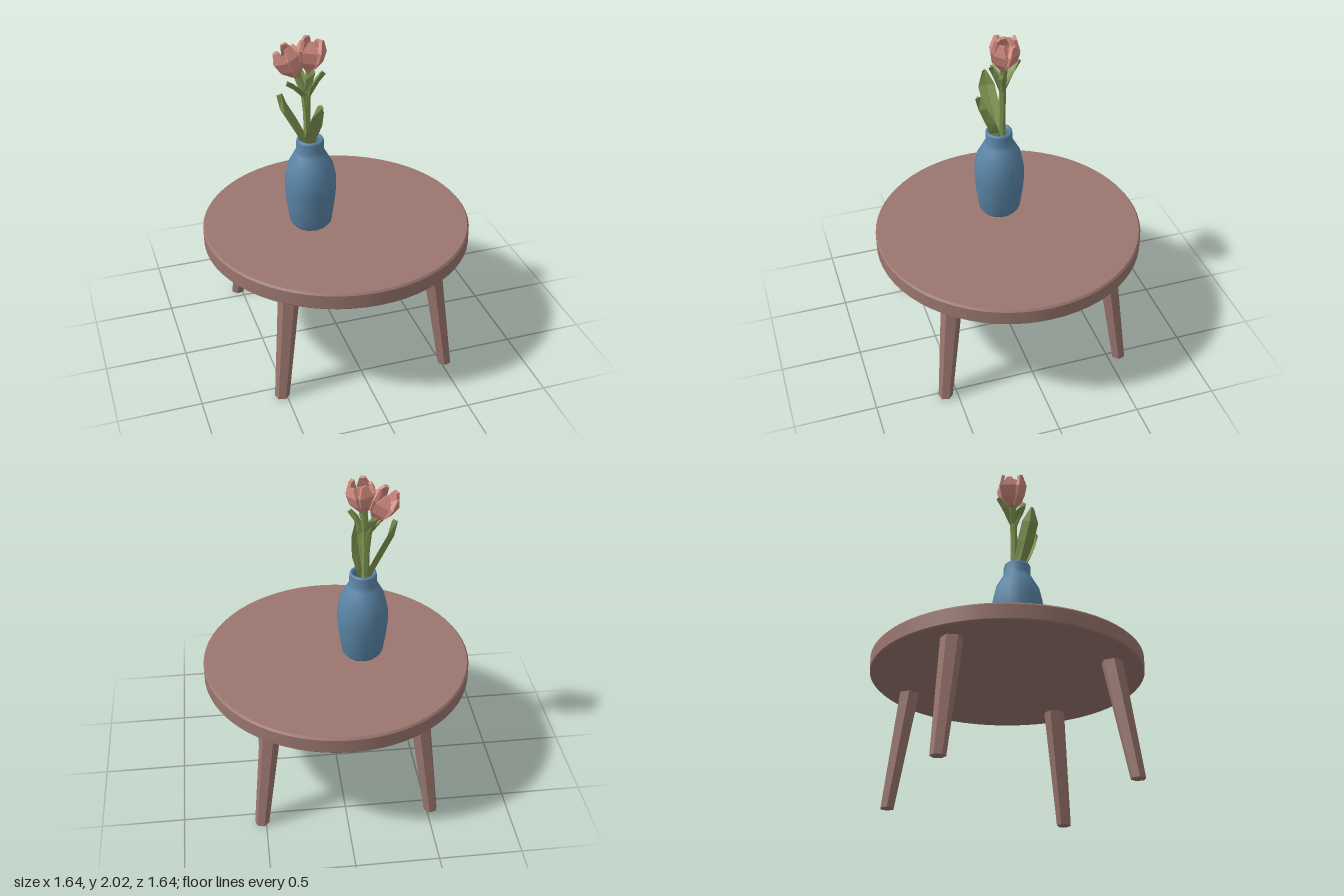
import * as THREE from 'three';

const V = (x, y, z) => new THREE.Vector3(x, y, z);
const mat = (color, flatShading = false, side = THREE.FrontSide) =>
  new THREE.MeshStandardMaterial({ color, flatShading, side });

// Lofts a four-cornered section along points; n is the broad face's direction.
function blade(points, widths, thick, n, boxy) {
  const pos = [], idx = [], last = points.length - 1;
  points.forEach((p, i) => {
    const t = points[Math.min(i + 1, last)].clone().sub(points[Math.max(i - 1, 0)]).normalize();
    const s = n.clone().cross(t).normalize();
    const m = t.clone().cross(s);
    const w = widths[i] / 2, h = thick / 2;
    const corners = boxy
      ? [[w, h], [-w, h], [-w, -h], [w, -h]]
      : [[w, h], [0, -h * 0.2], [-w, h], [0, -h * 2]];
    for (const [a, b] of corners) {
      const q = p.clone().addScaledVector(s, a).addScaledVector(m, b);
      pos.push(q.x, q.y, q.z);
    }
  });
  for (let i = 0; i < last; i++) for (let j = 0; j < 4; j++) {
    const a = i * 4 + j, b = i * 4 + (j + 1) % 4;
    idx.push(a, b, b + 4, a, b + 4, a + 4);
  }
  const e = last * 4;
  idx.push(1, 0, 3, 1, 3, 2, e + 1, e + 2, e + 3, e + 1, e + 3, e);
  const g = new THREE.BufferGeometry();
  g.setAttribute('position', new THREE.Float32BufferAttribute(pos, 3));
  g.setIndex(idx);
  const out = g.toNonIndexed();
  out.computeVertexNormals();
  return out;
}

export function createModel() {
  const model = new THREE.Group();
  const wood = mat(0x9b766f), woodFlat = mat(0x9b766f, true);
  const blue = mat(0x5b86a8, false, THREE.DoubleSide);
  const green = mat(0x7f9550, true), pink = mat(0xd48d82, true);
  const add = (name, geo, material, parent = model) => {
    const m = new THREE.Mesh(geo, material);
    m.name = name;
    parent.add(m);
    return m;
  };

  // Round table top with a small bevel; doubled points keep the edges sharp
  const rim = [[0, 0.715], [0.812, 0.715], [0.812, 0.715], [0.82, 0.723], [0.82, 0.723],
    [0.82, 0.808], [0.82, 0.808], [0.81, 0.82], [0.81, 0.82], [0, 0.82]];
  add('tableTop', new THREE.LatheGeometry(rim.map(p => new THREE.Vector2(...p)), 64), wood);

  // Four tapered, splayed legs
  for (const sx of [-1, 1]) for (const sz of [-1, 1]) {
    const g = new THREE.CylinderGeometry(0.065, 0.044, 0.72, 6);
    g.rotateY(Math.atan2(sx, sz));
    const p = g.attributes.position;
    for (let i = 0; i < p.count; i++) {
      const k = (p.getY(i) + 0.36) / 0.72;
      p.setXYZ(i, p.getX(i) + sx * (0.525 - 0.085 * k), p.getY(i) + 0.36,
        p.getZ(i) + sz * (0.572 - 0.087 * k));
    }
    add('leg', g, woodFlat);
  }

  // Vase with an open mouth and inner wall
  const profile = [[0, 0.821], [0.105, 0.821], [0.105, 0.821], [0.128, 0.85], [0.147, 0.98], [0.155, 1.07],
    [0.154, 1.15], [0.134, 1.24], [0.098, 1.305], [0.083, 1.33], [0.083, 1.385], [0.079, 1.4],
    [0.066, 1.4], [0.062, 1.385], [0.062, 1.33], [0.1, 1.24], [0.12, 1.1], [0, 1.05]];
  const vase = add('vase', new THREE.LatheGeometry(profile.map(p => new THREE.Vector2(...p)), 14), blue);
  vase.position.set(-0.163, 0, 0.005);

  const bouquet = new THREE.Group();
  bouquet.name = 'bouquet';
  model.add(bouquet);

  // Stems, each ending under its own flower
  const blooms = [
    { base: V(-0.222, 1.795, -0.05), axis: V(-0.42, 0.9, -0.13), stem: V(-0.185, 1.68, -0.025), spin: 0.3 },
    { base: V(-0.155, 1.83, -0.02), axis: V(0.13, 1, -0.05), stem: V(-0.168, 1.68, -0.02), spin: 0.9 },
  ];
  for (const { base, axis, stem, spin } of blooms) {
    const path = new THREE.CatmullRomCurve3([V(-0.165, 1.07, -0.01), V(-0.172, 1.42, -0.018), stem, base]);
    add('stem', new THREE.TubeGeometry(path, 6, 0.021, 6), green, bouquet);

    // Cupped flower of five thick petals
    const flower = new THREE.Group();
    flower.name = 'flower';
    flower.position.copy(base);
    flower.quaternion.setFromUnitVectors(V(0, 1, 0), axis.normalize());
    bouquet.add(flower);
    add('calyx', new THREE.CylinderGeometry(0.036, 0.02, 0.04, 6), green, flower);
    for (let i = 0; i < 5; i++) {
      const tall = i % 2 ? 0.165 : 0.18;
      const pts = [V(0, 0, 0.018), V(0, 0.055, 0.058), V(0, 0.115, 0.07), V(0, tall, 0.056)];
      const petal = add('petal', blade(pts, [0.028, 0.078, 0.084, 0.03], 0.02, V(0, 0, 1), true), pink, flower);
      petal.rotation.y = spin + i * Math.PI * 2 / 5;
    }
  }

  // Two large leaves rising from the vase
  add('leftLeaf', blade([V(-0.17, 1.25, 0), V(-0.2, 1.4, 0.008), V(-0.265, 1.52, 0.02), V(-0.325, 1.63, 0.03),
    V(-0.345, 1.72, 0.035)], [0.04, 0.065, 0.1, 0.1, 0.025], 0.022, V(0.8, 0.2, 0.35), false), green, bouquet);
  add('frontLeaf', blade([V(-0.165, 1.25, 0.01), V(-0.16, 1.4, 0.04), V(-0.15, 1.48, 0.075), V(-0.14, 1.59, 0.12),
    V(-0.135, 1.67, 0.14)], [0.05, 0.09, 0.12, 0.09, 0.025], 0.022, V(-0.35, 0.2, -0.8), false), green, bouquet);

  // Small leaves spreading just below the flowers
  const tips = [[-0.295, 1.775, 0.01], [-0.205, 1.835, -0.135], [-0.08, 1.815, 0.01], [-0.15, 1.85, 0.055]];
  for (const tip of tips) {
    const a = V(-0.172, 1.66, -0.02), b = V(...tip);
    const out = b.clone().sub(a).setY(0).normalize().negate();
    const mid = a.clone().lerp(b, 0.6);
    mid.y += 0.01;
    add('smallLeaf', blade([a, mid, b], [0.03, 0.055, 0.02], 0.018, out, false), green, bouquet);
  }
  return model;
}
